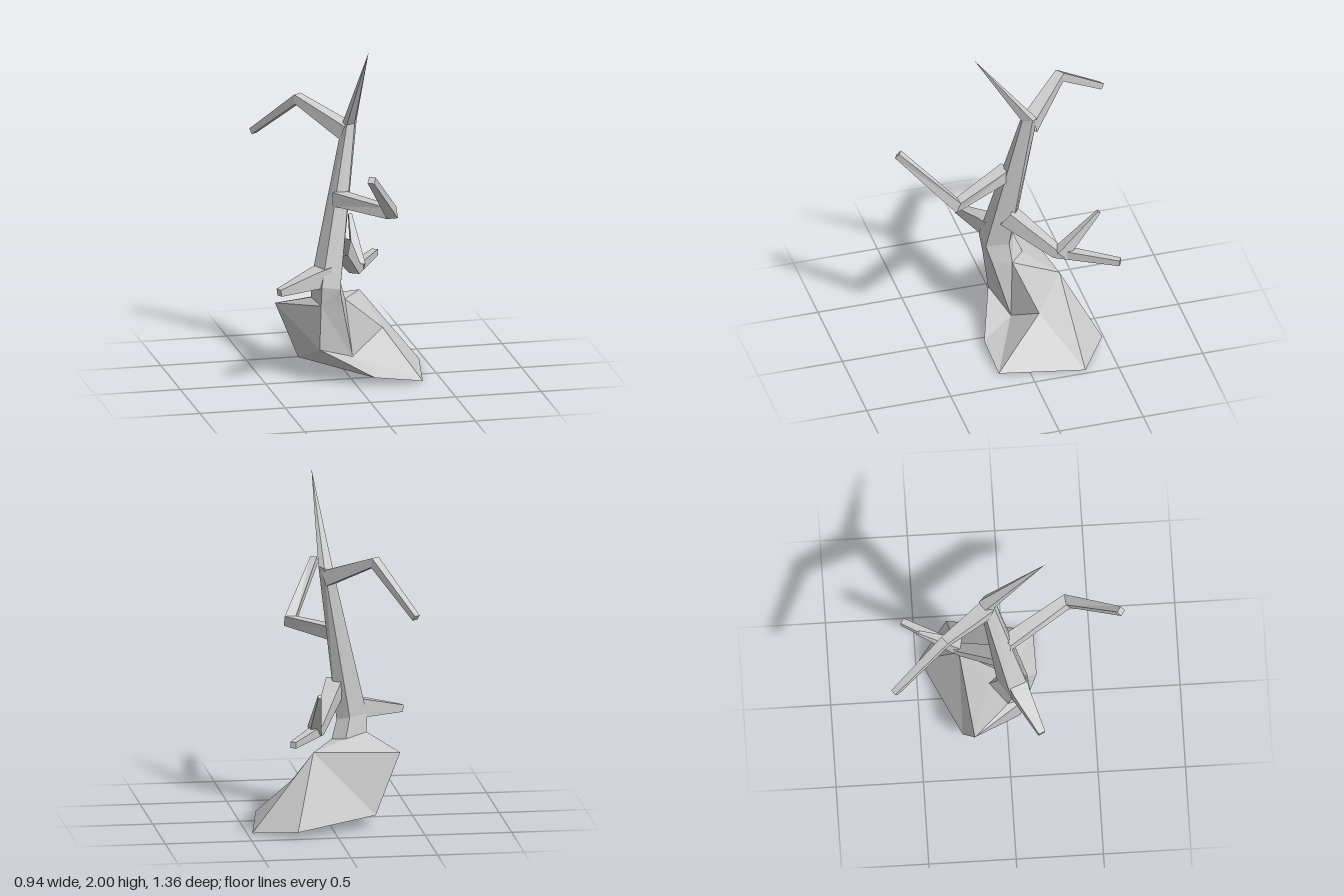
import * as THREE from 'three';

const material = new THREE.MeshStandardMaterial({ color: 0xcccccc, flatShading: true, side: THREE.DoubleSide });

// Mesh from corner points and polygons, each polygon cut into a fan
function polyMesh(name, points, polygons) {
  const pos = [];
  for (const p of polygons)
    for (let i = 1; i < p.length - 1; i++)
      pos.push(...points[p[0]], ...points[p[i]], ...points[p[i + 1]]);
  const geo = new THREE.BufferGeometry();
  geo.setAttribute('position', new THREE.Float32BufferAttribute(pos, 3));
  geo.computeVertexNormals();
  const mesh = new THREE.Mesh(geo, material);
  mesh.name = name;
  return mesh;
}

// Skin over rings of equal length (counter-clockwise seen from the end)
function loft(name, rings, capEnd = true) {
  const n = rings[0].length, polygons = [];
  for (let r = 0; r < rings.length - 1; r++)
    for (let i = 0; i < n; i++) {
      const a = r * n + i, b = r * n + (i + 1) % n;
      polygons.push([a, b, b + n, a + n]);
    }
  if (capEnd) polygons.push(rings[0].map((_, i) => (rings.length - 1) * n + i));
  return polyMesh(name, rings.flat(), polygons);
}

// Four-sided tapering limb; each stop is [x, y, z, half width]
function limb(name, stops) {
  const pts = stops.map(s => new THREE.Vector3(s[0], s[1], s[2]));
  const up = new THREE.Vector3(0, 1, 0);
  const rings = pts.map((p, i) => {
    const t = new THREE.Vector3();
    if (i > 0) t.add(p.clone().sub(pts[i - 1]).normalize());
    if (i < pts.length - 1) t.add(pts[i + 1].clone().sub(p).normalize());
    t.normalize();
    const side = t.clone().cross(up).normalize();
    const lift = side.clone().cross(t);
    const h = stops[i][3];
    return [[-1, -1], [1, -1], [1, 1], [-1, 1]].map(([u, v]) =>
      p.clone().addScaledVector(side, u * h).addScaledVector(lift, v * h).toArray());
  });
  return loft(name, rings);
}

export function createModel() {
  const tree = new THREE.Group();
  tree.name = 'deadTree';

  // Trunk rings: front left, front right, right, back, left
  const foot = [[-0.2, 0.475, 0.11], [-0.07, 0.47, 0.09], [-0.03, 0.47, -0.02], [-0.1, 0.485, -0.1], [-0.235, 0.5, 0]];
  const ankle = [[-0.2, 0.59, 0.13], [-0.09, 0.57, 0.12], [-0.06, 0.58, -0.01], [-0.13, 0.6, -0.055], [-0.24, 0.6, 0.02]];
  const crown = [[-0.01, 1.49, -0.065], [0.035, 1.5, -0.06], [0.06, 1.51, -0.115], [0.03, 1.5, -0.15], [-0.025, 1.48, -0.125]];
  const tip = foot.map(() => [0.05, 2, 0.23]);
  tree.add(loft('trunk', [foot, ankle, crown, tip], false));

  // Faceted mound below the trunk, open underneath
  const mound = [
    ...foot,             // 0-4
    [-0.4, 0.42, -0.2],  // 5 left shoulder
    [0.11, 0.45, -0.26], // 6 back shoulder
    [0.21, 0.26, -0.11], // 7 right ridge
    [0.01, 0.13, 0.0],   // 8 front hollow
    [-0.2, 0.205, 0.075],// 9 front ridge
    [0.1, 0.05, 0.185],  // 10 front toe
    [0.38, 0.012, 0.18], // 11 right toe
    [0.47, 0, -0.31],    // 12 far right
    [0.23, 0.035, -0.48],// 13 back toe
    [-0.25, 0.07, -0.26],// 14 left toe
  ];
  tree.add(polyMesh('mound', mound, [
    [0, 4, 5], [0, 5, 9], [0, 9, 8, 1], [1, 8, 2], [2, 8, 7], [2, 7, 6],
    [2, 6, 3], [3, 6, 5], [3, 5, 4], [8, 10, 11], [8, 11, 7], [7, 11, 12],
    [7, 12, 6], [6, 12, 13], [6, 13, 14, 5], [5, 14, 9], [9, 14, 10], [9, 10, 8],
  ]));

  // Branches
  tree.add(limb('upperBranch', [[0.0, 1.44, -0.11, 0.045], [-0.23, 1.58, -0.36, 0.028], [-0.425, 1.315, -0.66, 0.018]]));
  tree.add(limb('frontBranch', [[-0.08, 1.08, 0.0, 0.04], [0.155, 1.08, 0.365, 0.033], [-0.03, 1.37, 0.66, 0.02]]));
  tree.add(limb('sideBranch', [[-0.15, 0.64, 0.05, 0.06], [-0.23, 0.63, 0.075, 0.05], [-0.462, 0.592, 0.18, 0.02]]));
  tree.add(limb('backBranch', [[-0.06, 0.79, 0.0, 0.05], [0.08, 0.58, -0.25, 0.03], [0.272, 0.572, -0.575, 0.018]]));
  tree.add(limb('backTwig', [[0.105, 0.58, -0.27, 0.036], [0.107, 0.83, -0.495, 0.01]]));
  return tree;
}
